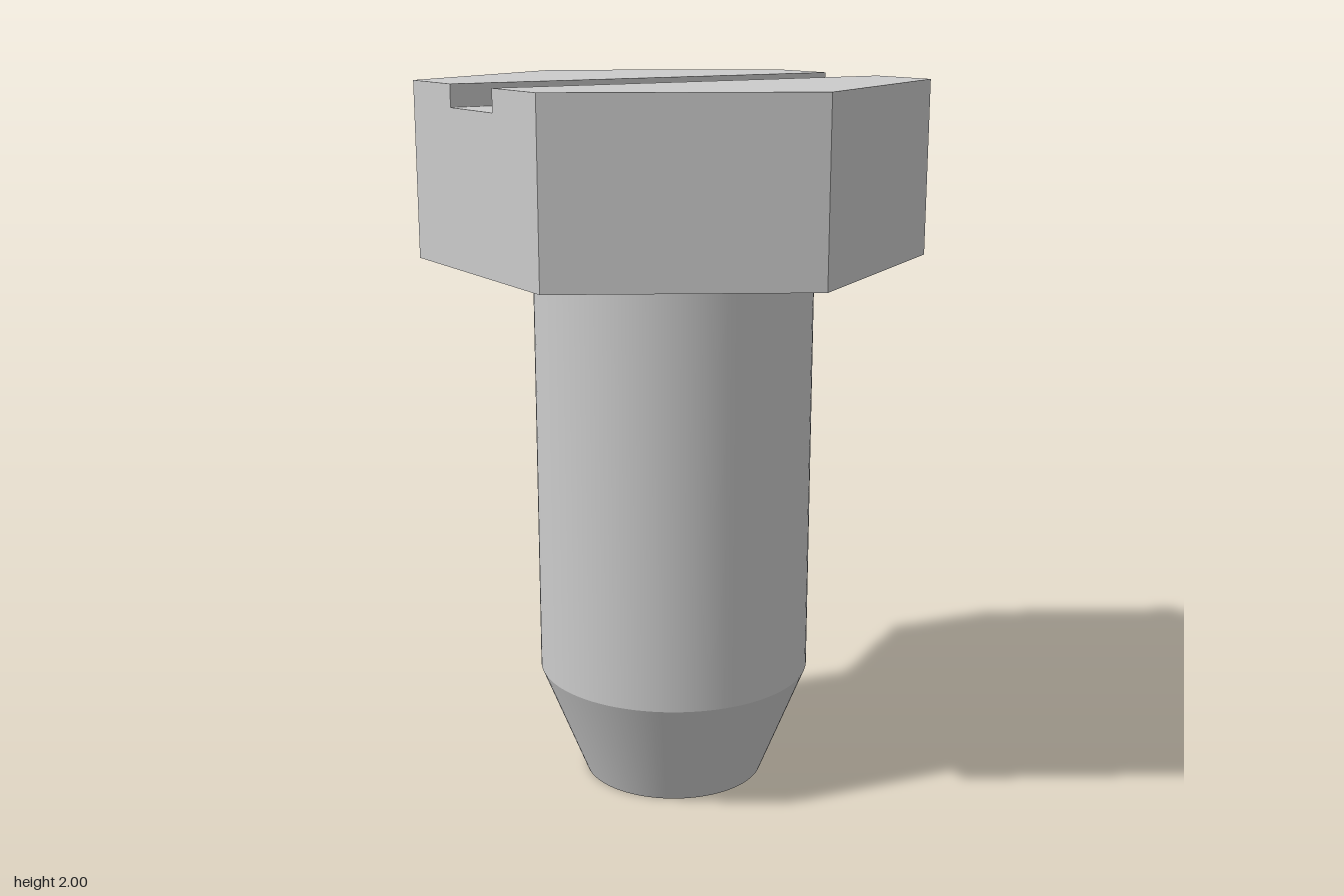
import * as THREE from 'three';

const SHANK_R = 0.39, TIP_R = 0.26, TIP_H = 0.325;
const HEAD_Y = 1.52, TOP_Y = 2, SLOT_Y = 1.94;
const HEX_R = 0.7, SLOT_HALF = 0.12;

// Half width of the hexagon (corners on the z axis) at a given z
const halfWidth = z => Math.min(HEX_R * Math.sqrt(3) / 2, (HEX_R - Math.abs(z)) * Math.sqrt(3));

// Slotted hexagonal head, built as strips across z
function headGeometry() {
  const positions = [];
  const quad = (a, b, c, d) => positions.push(...a, ...b, ...c, ...a, ...c, ...d);
  const stations = [-HEX_R, -HEX_R / 2, -SLOT_HALF, SLOT_HALF, HEX_R / 2, HEX_R];

  for (let i = 0; i < stations.length - 1; i++) {
    const z0 = stations[i], z1 = stations[i + 1];
    const w0 = halfWidth(z0), w1 = halfWidth(z1);
    const top = i === 2 ? SLOT_Y : TOP_Y;
    quad([-w0, top, z0], [-w1, top, z1], [w1, top, z1], [w0, top, z0]);
    quad([w0, HEAD_Y, z0], [w1, HEAD_Y, z1], [-w1, HEAD_Y, z1], [-w0, HEAD_Y, z0]);
    quad([w0, HEAD_Y, z0], [w0, top, z0], [w1, top, z1], [w1, HEAD_Y, z1]);
    quad([-w1, HEAD_Y, z1], [-w1, top, z1], [-w0, top, z0], [-w0, HEAD_Y, z0]);
  }

  // Slot walls, facing each other
  for (const s of [-1, 1]) {
    const z = s * SLOT_HALF, w = -s * halfWidth(z);
    quad([-w, SLOT_Y, z], [w, SLOT_Y, z], [w, TOP_Y, z], [-w, TOP_Y, z]);
  }

  const geometry = new THREE.BufferGeometry();
  geometry.setAttribute('position', new THREE.Float32BufferAttribute(positions, 3));
  geometry.computeVertexNormals();
  return geometry;
}

export function createModel() {
  const group = new THREE.Group();
  group.name = 'bolt';
  const material = new THREE.MeshStandardMaterial({ color: 0xcccccc });
  const add = (name, geometry, y = 0) => {
    const mesh = new THREE.Mesh(geometry, material);
    mesh.name = name;
    mesh.position.y = y;
    group.add(mesh);
  };

  add('head', headGeometry());

  // Round shank, open where it meets the head and the tip
  add('shank', new THREE.CylinderGeometry(SHANK_R, SHANK_R, HEAD_Y - TIP_H, 96, 1, true), (HEAD_Y + TIP_H) / 2);

  // Tapered tip with a flat end
  add('taperedTip', new THREE.CylinderGeometry(SHANK_R, TIP_R, TIP_H, 96, 1, true), TIP_H / 2);
  add('tipEnd', new THREE.CircleGeometry(TIP_R, 96).rotateX(Math.PI / 2));

  return group;
}
